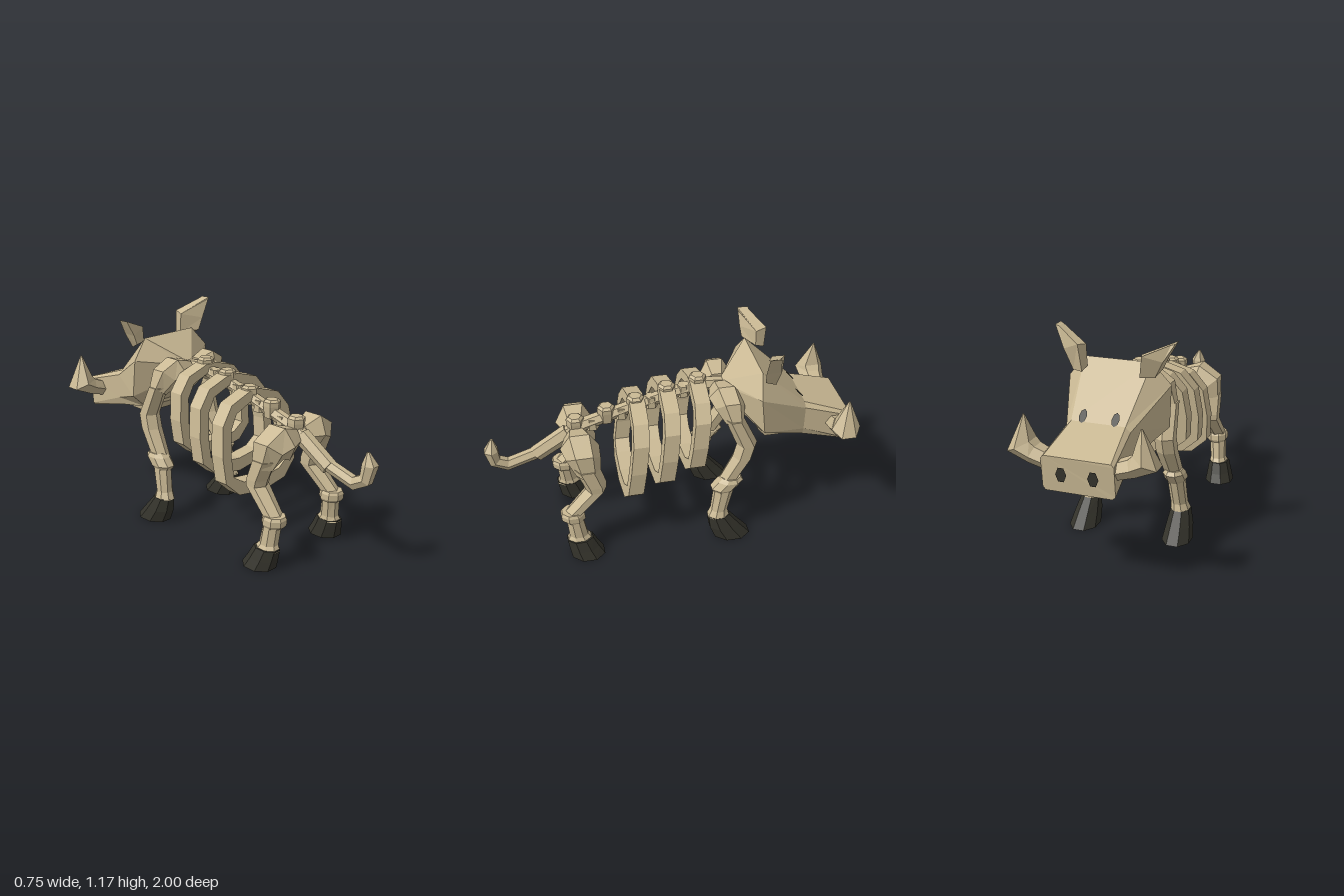
import * as THREE from 'three';

const bone = new THREE.MeshStandardMaterial({ color: 0xcab994 });
bone.name = 'bone';
const hoofDark = new THREE.MeshStandardMaterial({ color: 0x34332b });
hoofDark.name = 'dark hoof';

const acrossX = new THREE.Vector3(1, 0, 0);
const acrossZ = new THREE.Vector3(0, 0, 1);

// Closed faceted skin through a list of equal-sized rings of [x, y, z] points
function loft(name, rings, material = bone) {
  const tris = [];
  const n = rings[0].length;
  for (let i = 0; i < rings.length - 1; i++) {
    for (let j = 0; j < n; j++) {
      const k = (j + 1) % n;
      const [a, b, c, d] = [rings[i][j], rings[i][k], rings[i + 1][k], rings[i + 1][j]];
      tris.push([a, b, c], [a, c, d]);
    }
  }
  const first = rings[0], last = rings[rings.length - 1];
  for (let j = 1; j < n - 1; j++) {
    tris.push([first[0], first[j + 1], first[j]], [last[0], last[j], last[j + 1]]);
  }
  // Signed volume decides the winding, so mirrored parts also face outwards
  const o = first[0];
  let volume = 0;
  for (const t of tris) {
    const [a, b, c] = t.map((p) => new THREE.Vector3(p[0] - o[0], p[1] - o[1], p[2] - o[2]));
    volume += a.dot(b.cross(c));
  }
  if (volume < 0) tris.forEach((t) => t.reverse());
  const geometry = new THREE.BufferGeometry();
  geometry.setAttribute('position', new THREE.Float32BufferAttribute(tris.flat(2), 3));
  geometry.computeVertexNormals();
  const mesh = new THREE.Mesh(geometry, material);
  mesh.name = name;
  return mesh;
}

// Horizontal rings: stations are [x, y, z, radiusX, radiusZ]
function column(name, side, stations, material = bone, n = 8) {
  return loft(name, stations.map(([x, y, z, rx, rz]) => Array.from({ length: n }, (_, i) => {
    const a = ((i + 0.5) / n) * Math.PI * 2;
    const k = 1 / Math.cos(Math.PI / n);
    return [side * (x + Math.cos(a) * rx * k), y, z + Math.sin(a) * rz * k];
  })), material);
}

// Rings square to a bent path: stations are [x, y, z, radius, radiusAcross]
function bentTube(name, side, stations, across, n = 6) {
  const points = stations.map(([x, y, z]) => new THREE.Vector3(x, y, z));
  const rings = stations.map(([, , , r, r2 = r], i) => {
    const tangent = new THREE.Vector3();
    if (i > 0) tangent.add(points[i].clone().sub(points[i - 1]).normalize());
    if (i < points.length - 1) tangent.add(points[i + 1].clone().sub(points[i]).normalize());
    const v = tangent.normalize().cross(across).normalize();
    return Array.from({ length: n }, (_, j) => {
      const a = (j / n) * Math.PI * 2;
      const p = points[i].clone().addScaledVector(across, Math.cos(a) * r2).addScaledVector(v, Math.sin(a) * r);
      return [side * p.x, p.y, p.z];
    });
  });
  return loft(name, rings);
}

// Full ring from its +x half, listed top to bottom
const mirrorRing = (half) => [...half, ...half.map(([x, y, z]) => [-x, y, z]).reverse()];

// Closed rib hoop, leaning backwards towards its lower end
function rib(top, bottom, zTop, zBottom, width) {
  const outer = [[0.04, 1], [0.18, 0.92], [0.255, 0.75], [0.278, 0.46], [0.27, 0.2], [0.18, 0.05], [0, 0]];
  const inner = [[0.04, 0.9], [0.15, 0.83], [0.2, 0.69], [0.215, 0.45], [0.21, 0.24], [0.14, 0.16], [0, 0.13]];
  const h = top - bottom;
  const loop = (half) => [...half, ...half.slice(0, -1).reverse().map(([x, f]) => [-x, f])]
    .map(([x, f]) => new THREE.Vector2(x * width, bottom + f * h));
  const shape = new THREE.Shape(loop(outer));
  shape.holes.push(new THREE.Path(loop(inner).reverse()));
  const geometry = new THREE.ExtrudeGeometry(shape, { depth: 0.084, bevelEnabled: false });
  const p = geometry.attributes.position;
  for (let i = 0; i < p.count; i++) {
    const f = (p.getY(i) - bottom) / h;
    p.setZ(i, p.getZ(i) - 0.042 + zBottom + (zTop - zBottom) * f);
  }
  geometry.computeVertexNormals();
  const mesh = new THREE.Mesh(geometry, bone);
  mesh.name = 'rib';
  return mesh;
}

function frontLeg(side) {
  const leg = new THREE.Group();
  leg.name = side > 0 ? 'frontLegLeft' : 'frontLegRight';
  leg.add(
    bentTube('shoulder', side, [[0.03, 0.855, -0.285, 0.045, 0.055], [0.115, 0.85, -0.295, 0.085, 0.088],
      [0.175, 0.815, -0.31, 0.085, 0.08], [0.218, 0.74, -0.33, 0.052, 0.05]], acrossZ),
    column('upperLeg', side, [[0.212, 0.77, -0.325, 0.05, 0.045], [0.222, 0.6, -0.4, 0.05, 0.05],
      [0.225, 0.52, -0.38, 0.05, 0.05], [0.235, 0.37, -0.295, 0.043, 0.045]], bone, 6),
    column('kneeBand', side, [[0.242, 0.395, -0.315, 0.043, 0.05], [0.242, 0.375, -0.31, 0.055, 0.07],
      [0.242, 0.33, -0.275, 0.055, 0.07], [0.242, 0.31, -0.27, 0.043, 0.055]]),
    column('lowerLeg', side, [[0.243, 0.34, -0.28, 0.043, 0.055], [0.253, 0.18, -0.25, 0.042, 0.045],
      [0.26, 0.14, -0.245, 0.05, 0.06]]),
    column('hoof', side, [[0.26, 0.145, -0.245, 0.05, 0.058], [0.265, 0.07, -0.28, 0.065, 0.085],
      [0.268, 0, -0.325, 0.075, 0.1]], hoofDark),
  );
  return leg;
}

function hindLeg(side) {
  const leg = new THREE.Group();
  leg.name = side > 0 ? 'hindLegLeft' : 'hindLegRight';
  leg.add(
    bentTube('hip', side, [[0.03, 0.64, 0.5, 0.06, 0.065], [0.12, 0.635, 0.495, 0.108, 0.105],
      [0.19, 0.605, 0.485, 0.095, 0.092], [0.21, 0.51, 0.465, 0.06, 0.065]], acrossZ),
    column('thigh', side, [[0.208, 0.56, 0.475, 0.056, 0.06], [0.212, 0.45, 0.435, 0.056, 0.055],
      [0.212, 0.415, 0.43, 0.055, 0.05], [0.23, 0.27, 0.57, 0.045, 0.045]], bone, 6),
    column('hockBand', side, [[0.23, 0.29, 0.57, 0.05, 0.055], [0.23, 0.275, 0.568, 0.058, 0.064],
      [0.23, 0.245, 0.565, 0.058, 0.064], [0.23, 0.23, 0.563, 0.05, 0.055]]),
    column('lowerLeg', side, [[0.235, 0.24, 0.56, 0.045, 0.045], [0.245, 0.13, 0.545, 0.042, 0.05],
      [0.25, 0.1, 0.54, 0.052, 0.07]]),
    column('hoof', side, [[0.252, 0.11, 0.54, 0.054, 0.07], [0.26, 0.05, 0.52, 0.066, 0.08],
      [0.267, 0, 0.5, 0.077, 0.09]], hoofDark),
  );
  return leg;
}

function ear(side) {
  const drop = side < 0 ? 0.22 : 0; // the right ear hangs slightly lower
  const rings = [
    [[0.14, 0.98, -0.53], [0.235, 0.99, -0.475], [0.215, 0.955, -0.54], [0.15, 0.96, -0.58]],
    [[0.145, 1.09, -0.53], [0.26, 1.06, -0.468], [0.258, 1.06, -0.55], [0.165, 1.1, -0.592]],
    [[0.295, 1.165, -0.462], [0.31, 1.175, -0.465], [0.311, 1.172, -0.525], [0.29, 1.165, -0.525]],
  ];
  return loft('ear', rings.map((r) => r.map(([x, y, z]) => [side * x, y - drop * Math.max(0, y - 0.97), z])));
}

function head() {
  const group = new THREE.Group();
  group.name = 'head';
  group.add(loft('skull', [
    [[0.015, 0.88, -0.3], [0.025, 0.86, -0.3], [0.025, 0.82, -0.305], [0.015, 0.79, -0.31]],
    [[0.178, 1.012, -0.475], [0.272, 0.9, -0.455], [0.272, 0.69, -0.48], [0.15, 0.59, -0.52]],
    [[0.14, 0.765, -0.74], [0.165, 0.74, -0.74], [0.165, 0.6, -0.74], [0.15, 0.555, -0.74]],
    [[0.168, 0.68, -0.995], [0.183, 0.665, -0.995], [0.183, 0.515, -0.98], [0.168, 0.5, -0.98]],
  ].map(mirrorRing)));
  group.add(loft('jaw', [
    [[0.12, 0.62, -0.49], [0.12, 0.6, -0.49]],
    [[0.13, 0.62, -0.53], [0.12, 0.548, -0.535]],
    [[0.13, 0.6, -0.68], [0.12, 0.548, -0.67]],
  ].map(mirrorRing)));
  for (const side of [1, -1]) {
    group.add(ear(side));
    group.add(bentTube('tusk', side, [[0.14, 0.615, -0.92, 0.045, 0.055], [0.25, 0.655, -0.92, 0.052, 0.07],
      [0.315, 0.69, -0.92, 0.076, 0.08], [0.292, 0.845, -0.93, 0.004, 0.004]], acrossZ));
    const eye = new THREE.Mesh(new THREE.CircleGeometry(1, 8), hoofDark);
    eye.name = 'eye';
    eye.scale.set(0.02, 0.037, 1);
    eye.rotation.x = -Math.PI * 0.75 - 0.035;
    eye.position.set(side * 0.084, 0.789, -0.725);
    const nostril = new THREE.Mesh(new THREE.CircleGeometry(1, 6), hoofDark);
    nostril.name = 'nostril';
    nostril.scale.set(0.028, 0.04, 1);
    nostril.rotation.y = Math.PI;
    nostril.position.set(side * 0.08, 0.595, -0.998);
    group.add(eye, nostril);
  }
  return group;
}

export function createModel() {
  const model = new THREE.Group();
  model.name = 'boarSkeleton';

  // Backbone with a raised knob at each vertebra
  model.add(bentTube('backbone', 1, [[0, 0.63, 0.58, 0.035], [0, 0.685, 0.48, 0.038], [0, 0.77, 0.2, 0.034],
    [0, 0.835, -0.05, 0.034], [0, 0.865, -0.2, 0.038], [0, 0.845, -0.36, 0.04]], acrossX));
  for (const [z, top] of [[-0.17, 0.93], [0, 0.895], [0.17, 0.84], [0.33, 0.8], [0.5, 0.75]]) {
    model.add(column('vertebra', 1, [[0, top - 0.1, z, 0.035, 0.035], [0, top - 0.035, z, 0.042, 0.042],
      [0, top - 0.012, z, 0.042, 0.042], [0, top, z, 0.028, 0.03]], bone, 6));
  }
  for (const [z, y] of [[-0.09, 0.863], [0.085, 0.815], [0.25, 0.765], [0.41, 0.715]]) {
    model.add(column('spinePlate', 1, [[0, y - 0.05, z, 0.035, 0.035], [0, y + 0.012, z, 0.03, 0.025]], bone, 6));
  }

  model.add(rib(0.82, 0.262, 0.165, 0.235, 1));
  model.add(rib(0.87, 0.33, 0, 0.06, 1));
  model.add(rib(0.9, 0.4, -0.165, -0.11, 0.95));

  for (const side of [1, -1]) model.add(frontLeg(side), hindLeg(side));

  // Tail: thick root, then a thinner curl ending in a point
  model.add(bentTube('tailRoot', 1, [[0, 0.65, 0.54, 0.05, 0.042], [0, 0.53, 0.725, 0.046, 0.04]], acrossX));
  model.add(bentTube('tailTip', 1, [[0, 0.545, 0.7, 0.036, 0.032], [0.005, 0.49, 0.88, 0.038, 0.034],
    [0.01, 0.525, 0.945, 0.038, 0.036], [0.018, 0.605, 0.96, 0.042, 0.044], [0.01, 0.67, 0.95, 0.008]], acrossX));

  model.add(head());
  return model;
}
